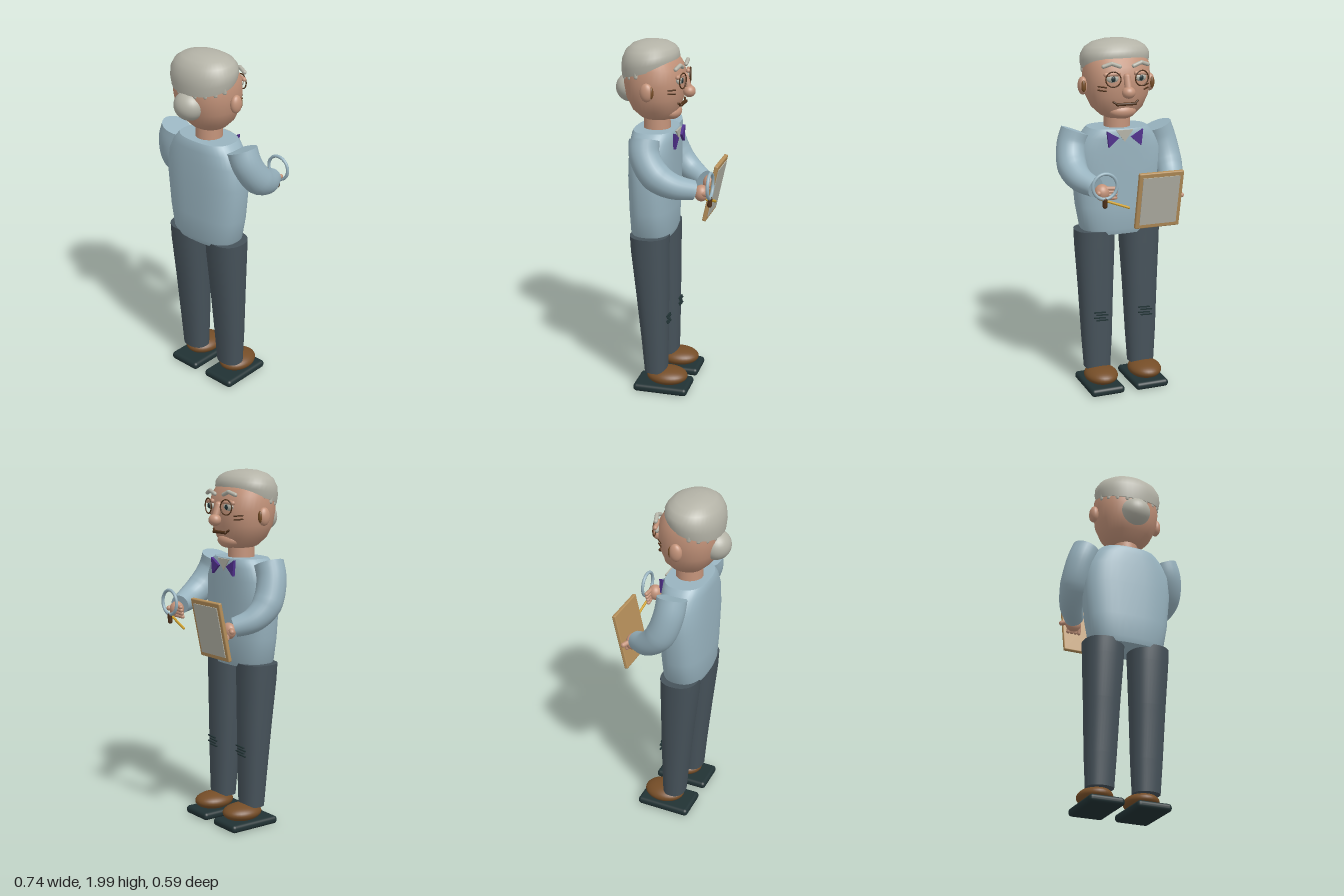
import * as THREE from 'three';
import { toCreasedNormals } from 'three/addons/utils/BufferGeometryUtils.js';
import { RoundedBoxGeometry } from 'three/addons/geometries/RoundedBoxGeometry.js';

const V = (x, y, z) => new THREE.Vector3(x, y, z);
const mat = (name, color) => {
  const m = new THREE.MeshStandardMaterial({ color });
  m.name = name;
  return m;
};

// Stacked superellipse sections [y, centreX, centreZ, radiusX, radiusZ], closed at both ends
function loft(rows, power = 2, sides = 40) {
  const first = rows[0], last = rows[rows.length - 1];
  const all = [[first[0], first[1], first[2], 0, 0], ...rows, [last[0], last[1], last[2], 0, 0]];
  const pos = [], index = [];
  const bend = (v) => Math.sign(v) * Math.abs(v) ** (2 / power);
  all.forEach(([y, cx, cz, rx, rz], i) => {
    for (let j = 0; j < sides; j++) {
      const t = (j / sides) * Math.PI * 2;
      pos.push(cx + rx * bend(Math.cos(t)), y, cz + rz * bend(Math.sin(t)));
      if (i === all.length - 1) continue;
      const a = i * sides + j, b = i * sides + (j + 1) % sides;
      index.push(a, a + sides, b, b, a + sides, b + sides);
    }
  });
  const g = new THREE.BufferGeometry();
  g.setAttribute('position', new THREE.Float32BufferAttribute(pos, 3));
  g.setIndex(index);
  return toCreasedNormals(g, 0.7);
}

// Tube whose radius follows a rule, with flat closed ends
function taperedTube(points, radius, steps = 24, sides = 24) {
  const curve = new THREE.CatmullRomCurve3(points);
  const g = new THREE.TubeGeometry(curve, steps, 1, sides);
  const p = g.attributes.position, v = V(0, 0, 0);
  for (let i = 0; i <= steps; i++) {
    const c = curve.getPointAt(i / steps);
    const end = i === 0 || i === steps;
    const target = i === 0 ? curve.getPointAt(1 / steps) : i === steps ? curve.getPointAt(1 - 1 / steps) : c;
    for (let j = 0; j <= sides; j++) {
      const k = i * (sides + 1) + j;
      v.fromBufferAttribute(p, k).sub(c).multiplyScalar(end ? 0 : radius(i / steps)).add(target);
      p.setXYZ(k, v.x, v.y, v.z);
    }
  }
  return toCreasedNormals(g, 0.7);
}

export function createModel() {
  const model = new THREE.Group();
  const skin = mat('skin', 0xc3937a), grey = mat('grey hair and paper', 0xb4b3a7);
  const blue = mat('blue sweater', 0x98b3bf), slate = mat('slate trousers', 0x46525a);
  const leather = mat('brown leather', 0x754d27), sole = mat('dark sole', 0x213234);
  const purple = mat('purple bow', 0x50308c), wood = mat('light wood', 0xb58f5a);
  const gold = mat('gold', 0xcfa02a), dark = mat('dark brown', 0x4e3018);

  const add = (name, geo, material, p = [0, 0, 0], r = [0, 0, 0], s = [1, 1, 1]) => {
    const m = new THREE.Mesh(geo, material);
    m.name = name;
    m.position.set(...p);
    m.rotation.set(...r);
    m.scale.set(...s);
    model.add(m);
    return m;
  };
  const ball = (name, material, p, s, r) => add(name, new THREE.SphereGeometry(1, 32, 20), material, p, r, s);
  const rod = (name, material, a, b, radius) => {
    const d = V(...b).sub(V(...a));
    const m = add(name, new THREE.CapsuleGeometry(radius, d.length(), 6, 12), material,
      V(...a).addScaledVector(d, 0.5).toArray());
    m.quaternion.setFromUnitVectors(V(0, 1, 0), d.normalize());
    return m;
  };

  // Body and neck
  add('sweater', loft([
    [0.92, 0, 0.075, 0.195, 0.11], [0.95, 0, 0.075, 0.215, 0.12], [1.08, 0, 0.075, 0.24, 0.124],
    [1.28, 0, 0.075, 0.26, 0.126], [1.4, 0, 0.072, 0.25, 0.126], [1.47, 0, 0.07, 0.215, 0.124],
    [1.505, 0, 0.068, 0.185, 0.122], [1.52, 0, 0.068, 0.17, 0.115]], 2.6), blue);
  add('neck', new THREE.CylinderGeometry(0.072, 0.075, 0.16, 32), skin, [0, 1.56, 0.065]);

  // Legs, shoes and knee scuffs
  for (const s of [-1, 1]) {
    const x = s * 0.135;
    add('trouserLeg', loft([
      [0.12, x, 0.037, 0.077, 0.065], [0.3, x, 0.043, 0.088, 0.074], [0.6, x, 0.057, 0.1, 0.091],
      [0.85, x, 0.07, 0.113, 0.105], [0.94, x, 0.072, 0.116, 0.108]], 2.3), slate);
    ball('shoe', leather, [x, 0.09, -0.028], [0.095, 0.048, 0.118]);
    add('sole', new RoundedBoxGeometry(0.2, 0.045, 0.315, 4, 0.02), sole, [x, 0.03, -0.005]);
    for (let i = 0; i < 4; i++)
      add('kneeScuff', new THREE.BoxGeometry(0.07, 0.006, 0.009), sole,
        [x + (i % 2 - 0.5) * 0.015, 0.42 + i * 0.016, -0.037], [0, 0, 0.06]);
  }

  // Head, chin and hair
  add('head', loft([
    [1.57, 0, 0.06, 0.06, 0.06], [1.585, 0, 0.06, 0.095, 0.09], [1.63, 0, 0.068, 0.142, 0.128],
    [1.7, 0, 0.073, 0.175, 0.155], [1.78, 0, 0.075, 0.186, 0.166], [1.86, 0, 0.077, 0.184, 0.16],
    [1.92, 0, 0.085, 0.16, 0.13], [1.96, 0, 0.095, 0.1, 0.08]], 2.25), skin);
  ball('chin', skin, [0, 1.615, -0.02], [0.078, 0.043, 0.052]);

  // The lower edge of the hair rises towards the face
  const hem = (z) => 1.845 - 0.27 * (z - 0.1);
  const dome = loft([[0, 0, 0.1, 0.186, 0.15], [0.25, 0, 0.1, 0.195, 0.155], [0.5, 0, 0.1, 0.192, 0.15],
    [0.72, 0, 0.1, 0.17, 0.132], [0.88, 0, 0.1, 0.13, 0.1], [0.97, 0, 0.1, 0.07, 0.055],
    [1, 0, 0.1, 0.01, 0.01]], 2.1);
  const dp = dome.attributes.position;
  for (let i = 0; i < dp.count; i++) {
    const b = hem(dp.getZ(i));
    dp.setY(i, b + dp.getY(i) * (2 - b));
  }
  dome.deleteAttribute('normal');
  add('hairCap', toCreasedNormals(dome, 0.8), grey);
  for (let i = 0; i <= 8; i++) {
    const a = (i / 8 - 0.5) * 2.6;
    const x = 0.178 * Math.sin(a), z = 0.1 + 0.14 * Math.cos(a);
    rod('hairLock', grey, [x, hem(z) + 0.03, z], [x, hem(z) - 0.008, z - 0.005], 0.013);
  }
  ball('hairBun', grey, [0, 1.735, 0.215], [0.086, 0.08, 0.08]);

  // Face
  rod('noseBridge', skin, [0, 1.81, -0.09], [0, 1.75, -0.11], 0.02);
  ball('noseTip', skin, [0, 1.73, -0.115], [0.037, 0.033, 0.034]);
  add('mouth', new RoundedBoxGeometry(0.12, 0.016, 0.02, 3, 0.007), dark, [0, 1.662, -0.082]);
  for (const s of [-1, 1]) {
    rod('mouthCorner', dark, [s * 0.05, 1.662, -0.08], [s * 0.07, 1.675, -0.072], 0.006);
    ball('eye', grey, [s * 0.082, 1.805, -0.083], [0.034, 0.022, 0.015], [0, -s * 0.2, 0]);
    ball('pupil', sole, [s * 0.08, 1.803, -0.096], [0.013, 0.015, 0.006]);
    rod('eyelid', skin, [s * 0.05, 1.83, -0.094], [s * 0.118, 1.826, -0.08], 0.012);
    rod('eyebrow', grey, [s * 0.04, 1.868, -0.086], [s * 0.085, 1.885, -0.085], 0.011);
    rod('eyebrow', grey, [s * 0.085, 1.885, -0.085], [s * 0.128, 1.87, -0.072], 0.011);
    add('spectacleRim', new THREE.TorusGeometry(0.041, 0.0035, 8, 32), dark, [s * 0.082, 1.802, -0.1], [0, -s * 0.2, 0]);
    ball('ear', skin, [s * 0.197, 1.752, 0.07], [0.026, 0.05, 0.036]);
    ball('innerEar', leather, [s * 0.2, 1.752, 0.042], [0.014, 0.032, 0.012]);
    for (const y of [1.735, 1.755])
      rod('cheekLine', dark, [s * 0.11, y, -0.066], [s * 0.145, y + 0.004, -0.035], 0.004);
  }

  // Collar and bow
  const triangle = (name, material, pts, z) => {
    const g = new THREE.ExtrudeGeometry(new THREE.Shape(pts.map(([x, y]) => new THREE.Vector2(x, y))),
      { depth: 0.016, bevelEnabled: false });
    add(name, g, material, [0, 0, z]);
  };
  triangle('collarPoint', grey, [[-0.05, 1.515], [0, 1.45], [0.05, 1.515]], -0.059);
  for (const s of [-1, 1])
    triangle('bowWing', purple, [[s * 0.035, 1.475], [s * 0.105, 1.515], [s * 0.095, 1.425]], -0.067);

  // Arms, bent forward
  const sleeve = (t) => t < 0.5 ? 0.082 : 0.082 - (t - 0.5) * 0.062;
  add('sleeveRight', taperedTube([V(0.235, 1.525, 0.07), V(0.268, 1.43, 0.062), V(0.287, 1.33, 0.0),
    V(0.275, 1.275, -0.09), V(0.215, 1.24, -0.215)], sleeve), blue);
  add('sleeveLeft', taperedTube([V(-0.235, 1.525, 0.07), V(-0.272, 1.42, 0.065), V(-0.29, 1.29, 0.02),
    V(-0.275, 1.21, -0.06), V(-0.21, 1.165, -0.165)], sleeve), blue);

  // Hands
  ball('palmRight', skin, [0.2, 1.225, -0.235], [0.042, 0.045, 0.04]);
  ball('palmLeft', skin, [-0.215, 1.155, -0.18], [0.046, 0.045, 0.034]);
  for (let i = 0; i < 4; i++) {
    const y = 1.195 + i * 0.018;
    rod('fingerRight', skin, [0.185, y, -0.25], [0.128, y - 0.003, -0.245 - i * 0.004], 0.011);
    rod('fingerLeft', skin, [-0.23 + i * 0.02, 1.16, -0.195], [-0.235 + i * 0.022, 1.115, -0.205], 0.011);
  }
  rod('thumbRight', skin, [0.225, 1.23, -0.235], [0.23, 1.23, -0.268], 0.014);
  rod('thumbLeft', skin, [-0.24, 1.165, -0.185], [-0.277, 1.16, -0.205], 0.014);

  // Clipboard, leaning outward, with its sheet on the far side
  const board = new THREE.Group();
  board.name = 'clipboard';
  board.position.set(-0.13, 1.155, -0.235);
  board.rotation.x = -0.21;
  const panel = add('board', new RoundedBoxGeometry(0.26, 0.33, 0.022, 2, 0.006), wood);
  const sheet = add('sheet', new THREE.BoxGeometry(0.215, 0.28, 0.006), grey, [0, 0, -0.012]);
  board.add(panel, sheet);
  model.add(board);

  // Magnifier and pencil
  add('magnifierRim', new THREE.TorusGeometry(0.068, 0.009, 12, 40), blue, [0.2, 1.268, -0.282]);
  rod('magnifierHandle', dark, [0.2, 1.195, -0.282], [0.2, 1.16, -0.28], 0.013);
  rod('pencil', gold, [0.215, 1.195, -0.268], [0.065, 1.14, -0.281], 0.007);
  return model;
}
